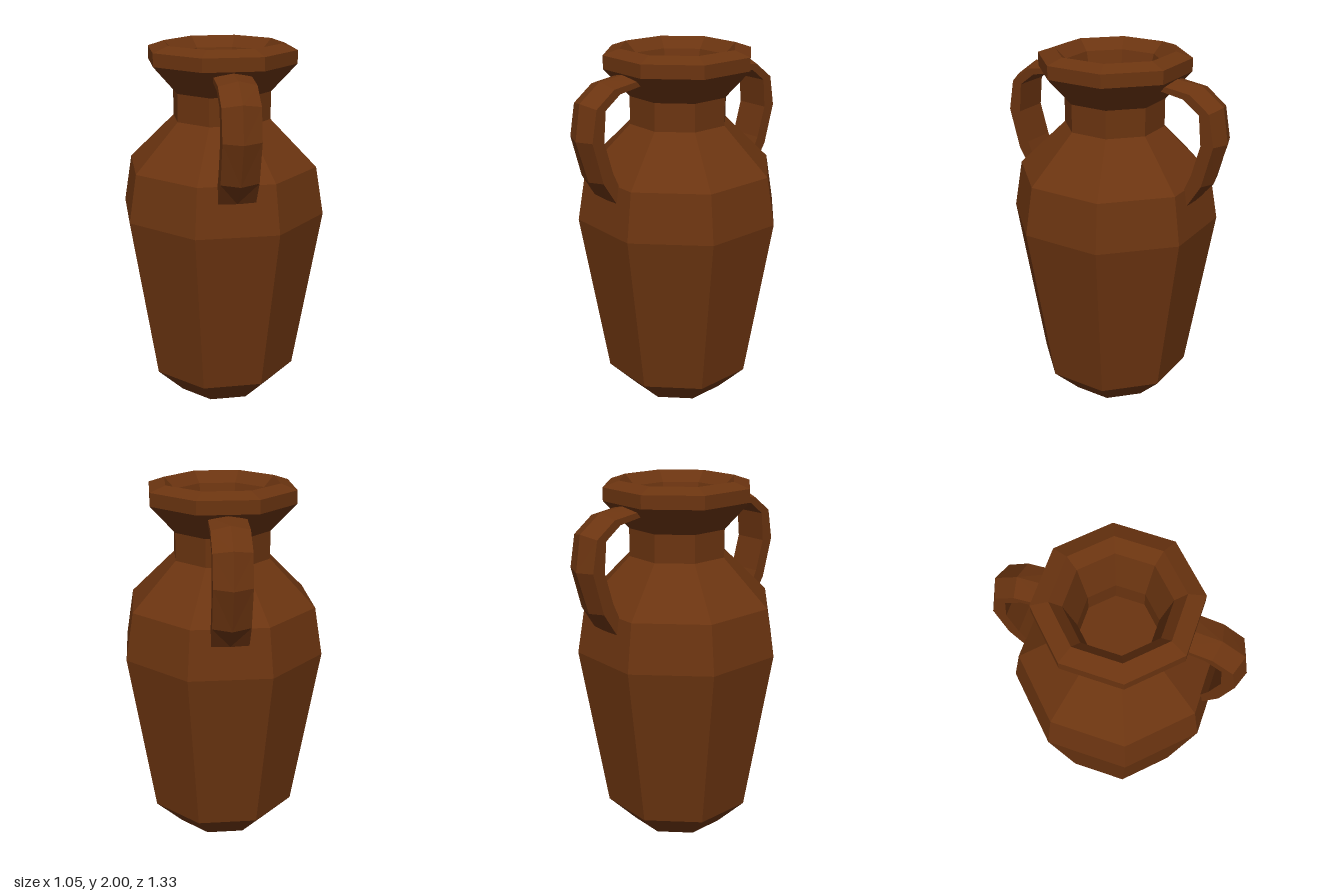
import * as THREE from 'three';

const clay = new THREE.MeshStandardMaterial({ color: 0x6b3410, flatShading: true });

// Eight-sided body: profile as [distance to flat side, height]
function makeBody() {
  const profile = [
    [0, 0], [0.245, 0], [0.39, 0.16], [0.527, 1.09], [0.485, 1.35], // foot, belly, shoulder
    [0.25, 1.6], [0.25, 1.75],                                      // neck
    [0.377, 1.9], [0.377, 1.97], [0.295, 2],                        // flared rim
    [0.24, 1.94], [0.185, 1.72], [0.185, 1.6], [0, 1.6],            // inside of the mouth
  ];
  const toCorner = 1 / Math.cos(Math.PI / 8);
  const points = profile.map(([r, y]) => new THREE.Vector2(r * toCorner, y));
  const mesh = new THREE.Mesh(new THREE.LatheGeometry(points, 8, Math.PI / 8), clay);
  mesh.name = 'body';
  return mesh;
}

// Handle: five-sided section with a ridge on the outside, lofted from shoulder to rim
function makeHandleGeometry() {
  const w = 0.097;
  // each row: ridge, side edge and inner edge as z, y
  const rings = [
    [0.5, 1.26, 0.498, 1.262, 0.47, 1.33],
    [0.6, 1.375, 0.575, 1.385, 0.515, 1.43],
    [0.667, 1.6, 0.633, 1.605, 0.563, 1.6],
    [0.635, 1.787, 0.602, 1.77, 0.548, 1.757],
    [0.51, 1.879, 0.492, 1.853, 0.458, 1.825],
    [0.3, 1.9, 0.3, 1.88, 0.3, 1.852],
  ].map(([rz, ry, sz, sy, iz, iy]) => [
    [0, ry, rz], [w, sy, sz], [w, iy, iz], [-w, iy, iz], [-w, sy, sz],
  ]);
  const pos = [];
  const tri = (...corners) => corners.forEach((p) => pos.push(...p));
  for (let i = 0; i < rings.length - 1; i++) {
    for (let j = 0; j < 5; j++) {
      const k = (j + 1) % 5;
      const a = rings[i][j], b = rings[i][k], c = rings[i + 1][k], d = rings[i + 1][j];
      // mirrored diagonals keep both halves alike
      if (j < 2) { tri(a, b, c); tri(a, c, d); } else { tri(a, b, d); tri(b, c, d); }
    }
  }
  // end caps
  const first = rings[0], last = rings[rings.length - 1];
  for (let j = 1; j < 4; j++) {
    tri(first[0], first[j + 1], first[j]);
    tri(last[0], last[j], last[j + 1]);
  }
  const geometry = new THREE.BufferGeometry();
  geometry.setAttribute('position', new THREE.Float32BufferAttribute(pos, 3));
  geometry.computeVertexNormals();
  return geometry;
}

export function createModel() {
  const group = new THREE.Group();
  group.name = 'jar';
  group.add(makeBody());
  const handle = makeHandleGeometry();
  ['frontHandle', 'backHandle'].forEach((name, i) => {
    const mesh = new THREE.Mesh(handle, clay);
    mesh.name = name;
    mesh.rotation.y = i * Math.PI;
    group.add(mesh);
  });
  return group;
}
